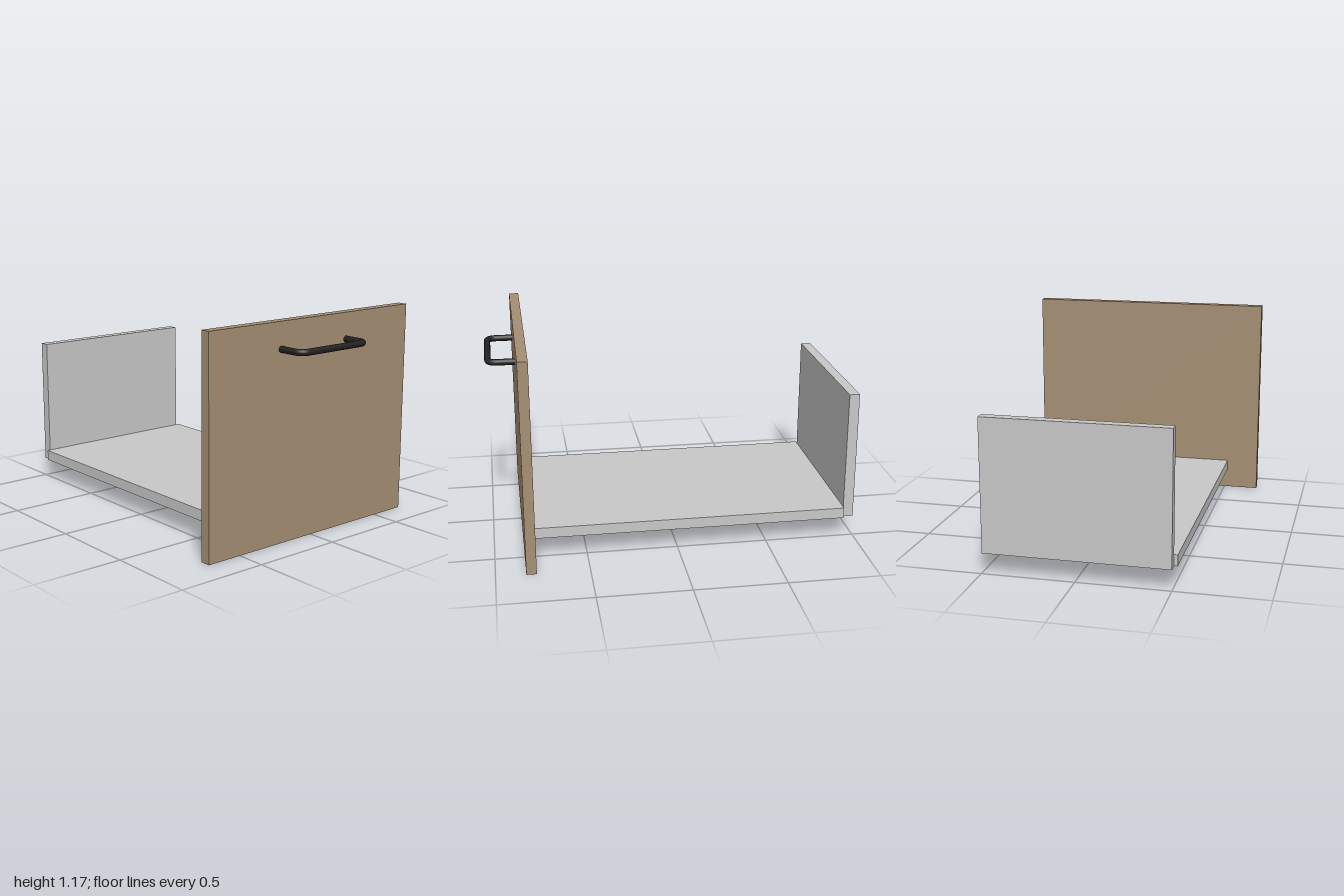
import * as THREE from 'three';

export function createModel() {
  const group = new THREE.Group();
  const wood = new THREE.MeshStandardMaterial({ name: 'wood', color: 0xa68f74 });
  const grey = new THREE.MeshStandardMaterial({ name: 'lightGrey', color: 0xc8c8c8 });
  const black = new THREE.MeshStandardMaterial({ name: 'black', color: 0x222222 });

  // Board given by its lowest and highest corner
  function board(name, material, min, max) {
    const size = max.map((v, i) => v - min[i]);
    const mesh = new THREE.Mesh(new THREE.BoxGeometry(...size), material);
    mesh.position.set(...max.map((v, i) => (v + min[i]) / 2));
    mesh.name = name;
    group.add(mesh);
  }

  board('drawerFront', wood, [-0.705, 0, 0.784], [0.705, 1.17, 0.839]);
  board('drawerFloor', grey, [-0.518, 0.112, -0.942], [0.513, 0.172, 0.784]);
  board('drawerBack', grey, [-0.499, 0.112, -1], [0.494, 0.835, -0.943]);

  // Bar handle: straight runs joined by quarter-circle bends
  const r = 0.0175, x = 0.25 - r, z = 1 - r, bend = 0.045, y = 1.028;
  const points = [new THREE.Vector3(-x, y, 0.83)];
  for (const side of [-1, 1]) {
    for (let i = 0; i <= 6; i++) {
      const a = (side < 0 ? i : 6 - i) / 6 * Math.PI / 2;
      points.push(new THREE.Vector3(
        side * (x - bend + bend * Math.cos(a)), y, z - bend + bend * Math.sin(a)));
    }
  }
  points.push(new THREE.Vector3(x, y, 0.83));
  const path = new THREE.CurvePath();
  for (let i = 1; i < points.length; i++) {
    path.add(new THREE.LineCurve3(points[i - 1], points[i]));
  }
  const handle = new THREE.Mesh(new THREE.TubeGeometry(path, 120, r, 16, false), black);
  handle.name = 'handle';
  group.add(handle);

  return group;
}
